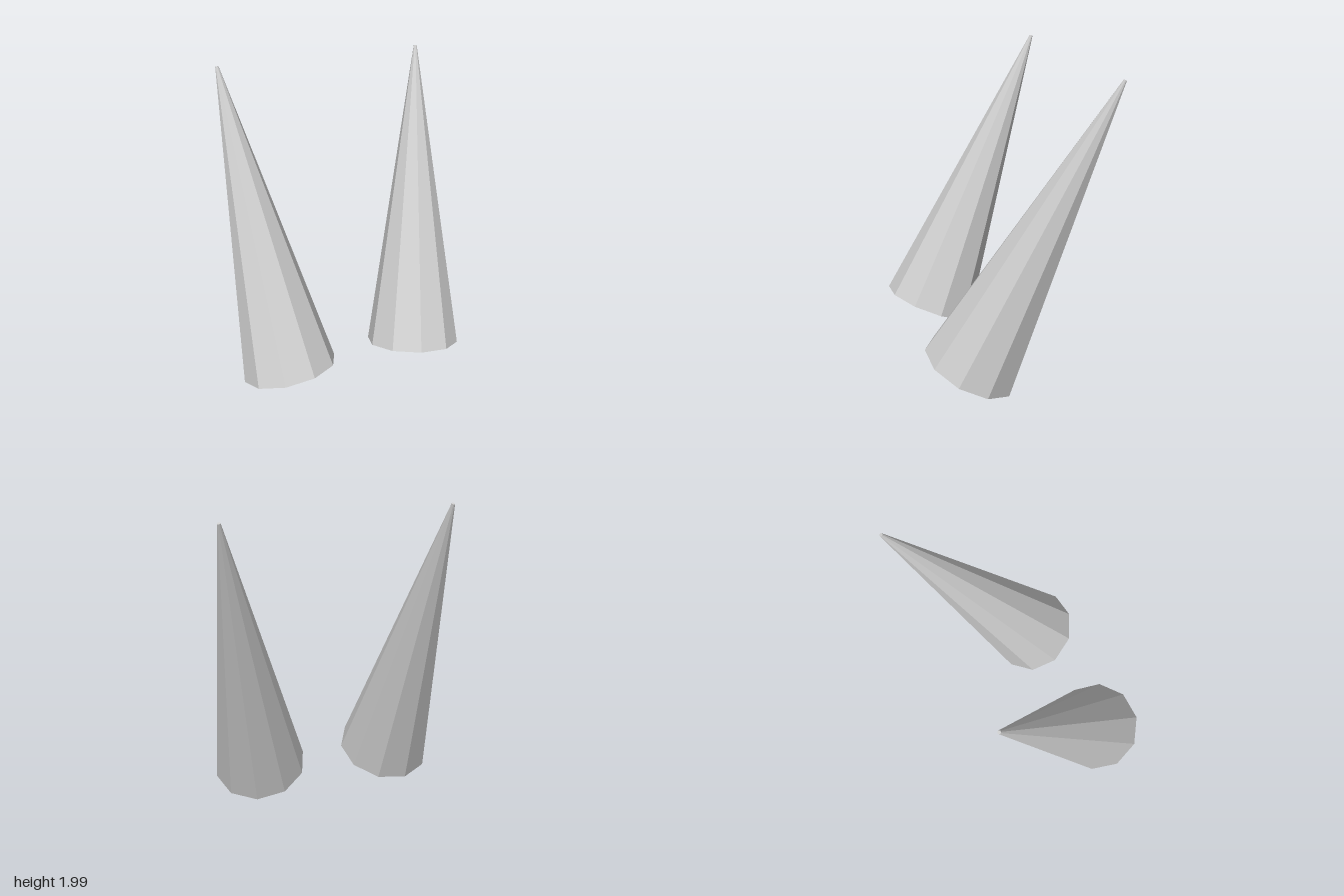
import * as THREE from 'three';

const material = new THREE.MeshStandardMaterial({ color: 0xcccccc, flatShading: true });

// Ten-sided tapered spike from a base centre to a small blunt tip;
// corner is the position of one base corner and sets the roll.
function spike(name, base, tip, corner) {
  const b = new THREE.Vector3(...base);
  const axis = new THREE.Vector3(...tip).sub(b);
  const length = axis.length();
  const up = axis.clone().normalize();
  const side = new THREE.Vector3(...corner).sub(b);
  side.addScaledVector(up, -side.dot(up)).normalize();
  const forward = new THREE.Vector3().crossVectors(side, up);

  const geometry = new THREE.CylinderGeometry(0.01, 0.308, length, 10, 1, false, Math.PI / 2);
  geometry.translate(0, length / 2, 0);
  const mesh = new THREE.Mesh(geometry, material);
  mesh.name = name;
  mesh.quaternion.setFromRotationMatrix(new THREE.Matrix4().makeBasis(side, up, forward));
  mesh.position.copy(b);
  return mesh;
}

export function createModel() {
  const group = new THREE.Group();
  group.name = 'spikePair';
  group.add(
    spike('rightSpike', [-0.443, 0.181, 0.291], [-0.603, 1.996, -0.509], [-0.135, 0.207, 0.289]),
    spike('leftSpike', [0.443, 0.139, 0.26], [0.721, 1.932, -0.556], [0.746, 0.083, 0.243])
  );
  return group;
}
